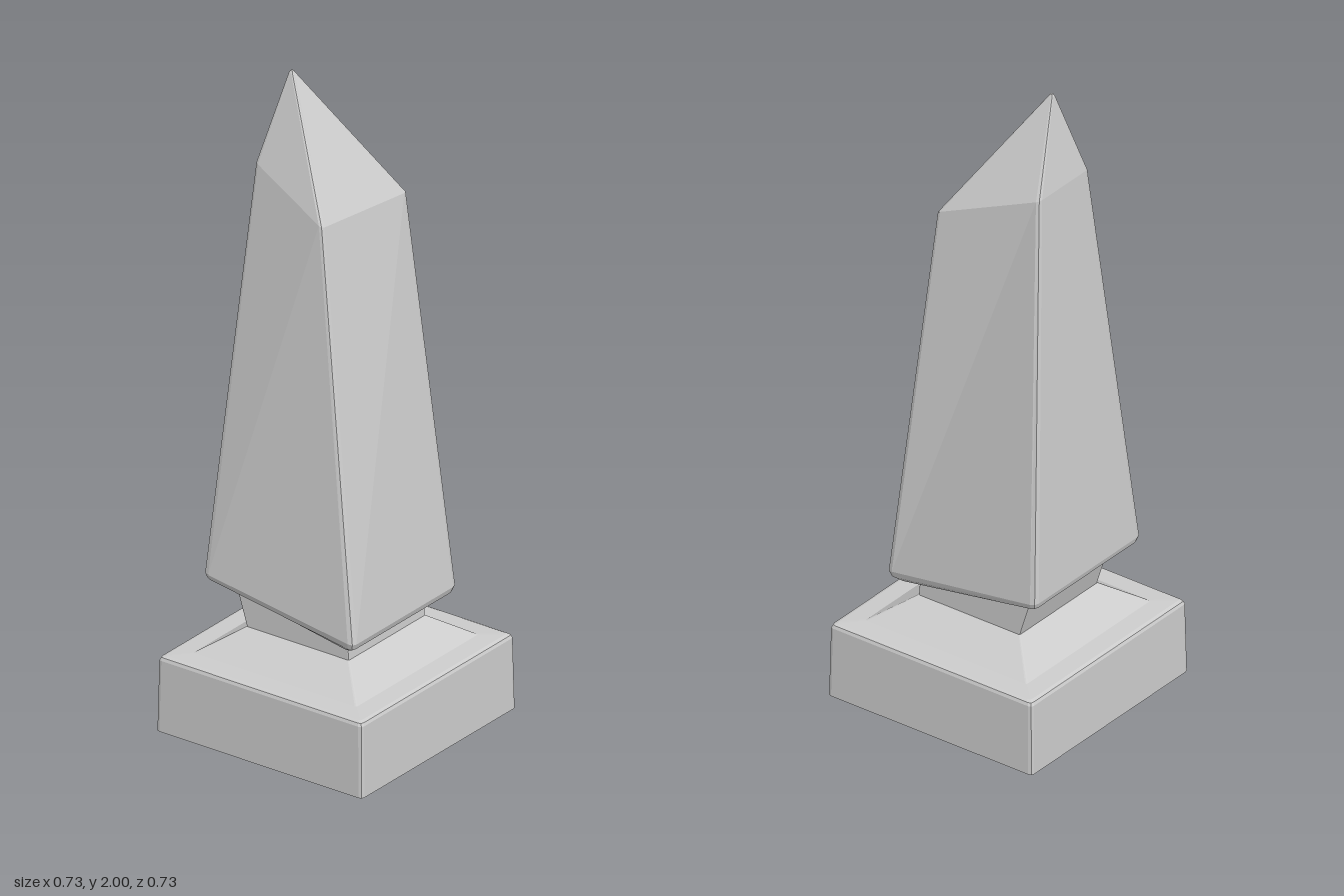
import * as THREE from 'three';

const material = new THREE.MeshStandardMaterial({ color: 0xcccccc, flatShading: true, side: THREE.DoubleSide });

// Four-cornered ring (front left, front right, back right, back left as seen
// from the front) whose corners are rounded off by r.
function ring(corners, r) {
  const p = corners.map((c) => new THREE.Vector3(...c));
  return p.flatMap((c, i) => {
    const toward = (q) => c.clone().add(q.clone().sub(c).setLength(r));
    const a = toward(p[(i + 3) % 4]), b = toward(p[(i + 1) % 4]);
    const mid = a.clone().add(b).multiplyScalar(0.25).addScaledVector(c, 0.5);
    return [a, mid, b];
  });
}

const square = (half, y, r) =>
  ring([[-half, y, half], [half, y, half], [half, y, -half], [-half, y, -half]], r);

// Rectangle tilted sideways: its left and right ends sit at different heights.
const tilted = (x0, y0, x1, y1, z, r) =>
  ring([[x0, y0, z], [x1, y1, z], [x1, y1, -z], [x0, y0, -z]], r);

// Skin a stack of rings, optionally closing the top.
function loft(name, rings, cap = false) {
  const n = rings[0].length;
  const index = [];
  for (let k = 0; k < rings.length - 1; k++) {
    for (let i = 0; i < n; i++) {
      const a = k * n + i, b = k * n + (i + 1) % n;
      index.push(a, b, b + n, a, b + n, a + n);
    }
  }
  if (cap) {
    const s = (rings.length - 1) * n;
    for (let i = 1; i < n - 1; i++) index.push(s, s + i, s + i + 1);
  }
  const geometry = new THREE.BufferGeometry().setFromPoints(rings.flat());
  geometry.setIndex(index);
  geometry.computeVertexNormals();
  const mesh = new THREE.Mesh(geometry, material);
  mesh.name = name;
  return mesh;
}

export function createModel() {
  const group = new THREE.Group();
  group.name = 'obelisk';

  // Hollow plinth, open underneath, with a sloped shoulder
  const neckFoot = square(0.18, 0.31, 0.004);
  group.add(loft('plinth', [
    square(0.363, 0, 0.012),
    square(0.359, 0.222, 0.012),
    square(0.355, 0.231, 0.012),
    square(0.345, 0.235, 0.01),
    square(0.287, 0.238, 0.006),
    neckFoot,
  ]));

  // Neck, leaning outward on the left to meet the tilted shaft
  const neckTop = tilted(-0.222, 0.444, 0.175, 0.372, 0.18, 0.004);
  group.add(loft('neck', [neckFoot, neckTop]));

  // Shaft with rounded lower edge, uneven shoulders and off-centre tip
  const shoulder = ring([
    [-0.216, 1.73, 0.092], [0.05, 1.615, 0.135],
    [0.1, 1.612, -0.202], [-0.216, 1.73, -0.135],
  ], 0.012);
  group.add(loft('shaft', [
    neckTop,
    tilted(-0.262, 0.451, 0.212, 0.367, 0.225, 0.012),
    tilted(-0.28, 0.458, 0.236, 0.379, 0.24, 0.016),
    tilted(-0.285, 0.475, 0.243, 0.398, 0.246, 0.018),
    shoulder,
  ]));

  // Pointed cap with a tiny blunt tip
  const tip = ring([
    [-0.163, 1.993, 0.008], [-0.147, 1.993, 0.008],
    [-0.147, 1.993, -0.008], [-0.163, 1.993, -0.008],
  ], 0.005);
  const crown = tip.map((v) => new THREE.Vector3(-0.155 + (v.x + 0.155) * 0.5, 2, v.z * 0.5));
  group.add(loft('pointedCap', [shoulder, tip, crown], true));

  return group;
}
